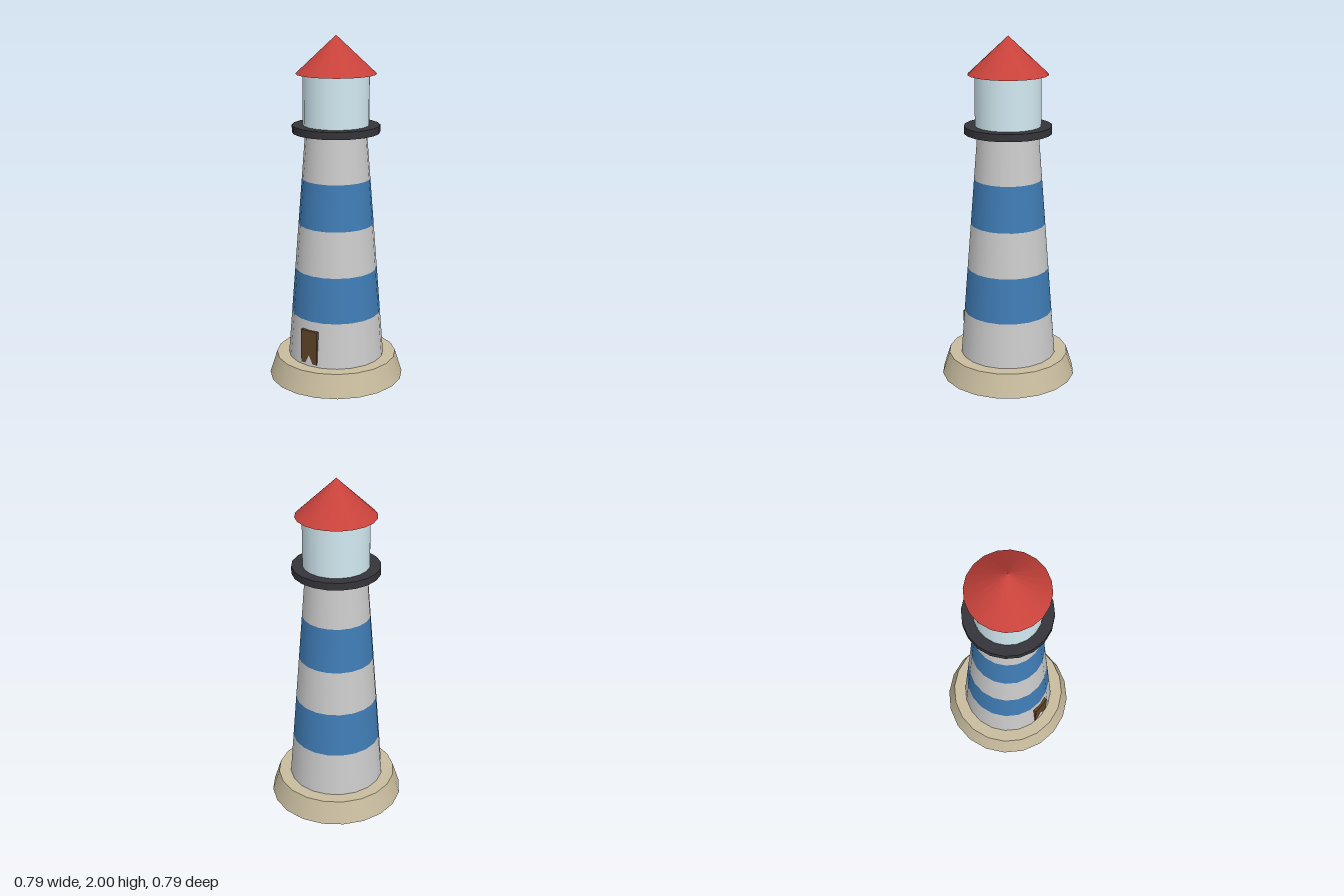
import * as THREE from 'three';

const SIDES = 20;
const mat = (color) => new THREE.MeshStandardMaterial({ color });

export function createModel() {
  const group = new THREE.Group();
  const white = mat(0xcccccc), blue = mat(0x3f7cb5);

  // Round part standing between two heights
  const round = (name, rTop, rBottom, y0, y1, material) => {
    const mesh = new THREE.Mesh(new THREE.CylinderGeometry(rTop, rBottom, y1 - y0, SIDES), material);
    mesh.position.y = (y0 + y1) / 2;
    mesh.name = name;
    group.add(mesh);
  };

  // Sloped stone foundation
  round('foundation', 0.352, 0.394, 0, 0.132, mat(0xc8bc9e));

  // Tapering tower of five alternating bands
  const bands = 5, y0 = 0.132, y1 = 1.458, r0 = 0.28, r1 = 0.175;
  const lerp = THREE.MathUtils.lerp;
  for (let i = 0; i < bands; i++) {
    const a = i / bands, b = (i + 1) / bands;
    round(`towerBand${i + 1}`, lerp(r0, r1, b), lerp(r0, r1, a),
      lerp(y0, y1, a), lerp(y0, y1, b), i % 2 ? blue : white);
  }

  // Gallery, lantern room and conical roof
  round('gallery', 0.25, 0.25, 1.458, 1.5, mat(0x34343a));
  round('lanternRoom', 0.188, 0.188, 1.5, 1.787, mat(0xd2eaf2));
  const roof = new THREE.Mesh(new THREE.ConeGeometry(0.228, 0.213, SIDES), mat(0xc8423b));
  roof.position.y = 1.8935;
  roof.name = 'roof';
  group.add(roof);

  // Door set into the front of the lowest band
  const door = new THREE.Mesh(new THREE.BoxGeometry(0.11, 0.2, 0.02), mat(0x5f4327));
  door.position.set(0, 0.245, 0.265);
  door.name = 'door';
  group.add(door);

  return group;
}
